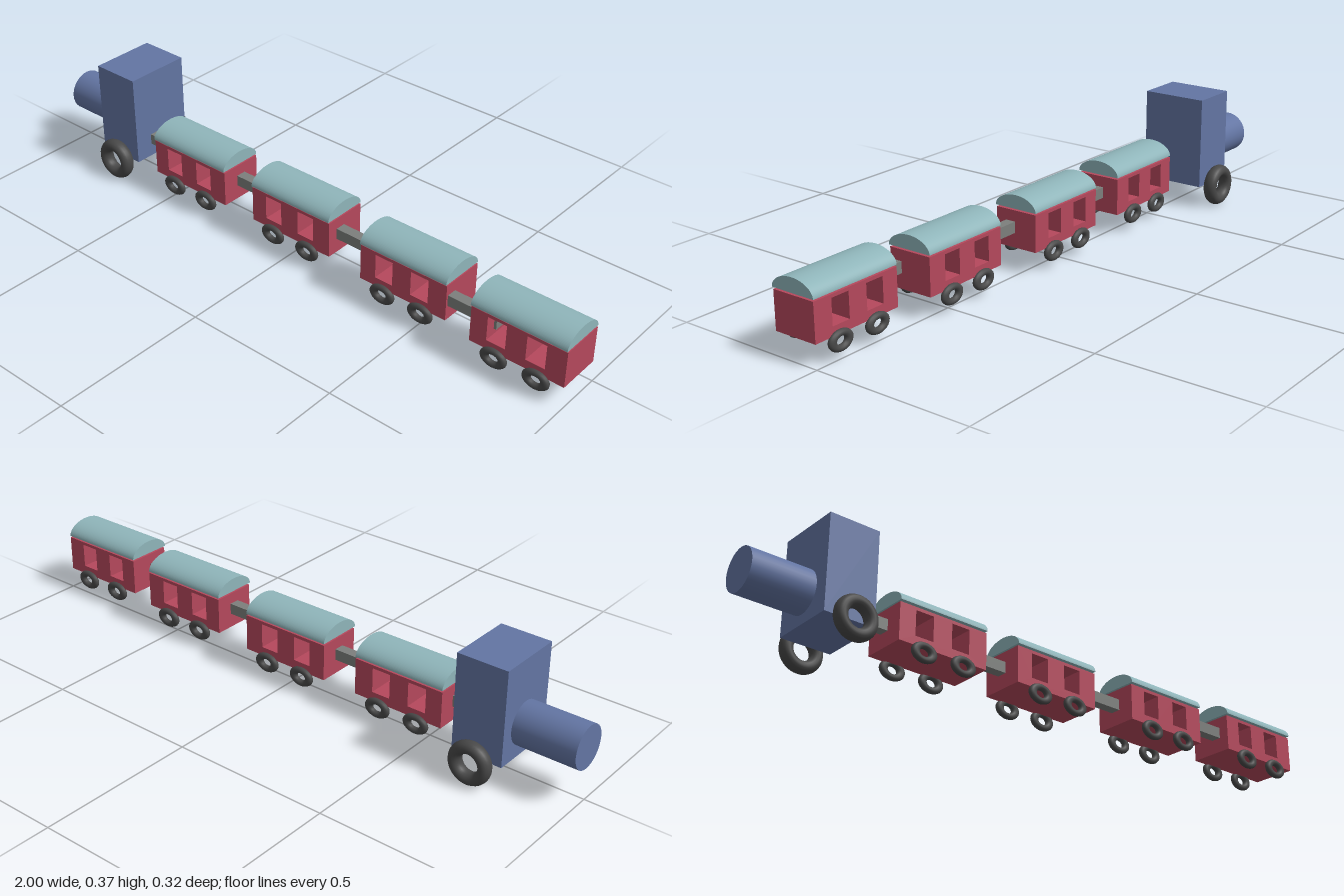
import * as THREE from 'three';

const paint = (color) => new THREE.MeshStandardMaterial({ color });

export function createModel() {
  const train = new THREE.Group();
  train.name = 'train';
  const blue = paint(0x6375a3), red = paint(0xb5485c), teal = paint(0x8fb5ba);
  const black = paint(0x484848), grey = paint(0x7c7f7c);

  function add(parent, name, geometry, material, x, y, z) {
    const mesh = new THREE.Mesh(geometry, material);
    mesh.name = name;
    mesh.position.set(x, y, z);
    parent.add(mesh);
    return mesh;
  }

  // Locomotive: cab, boiler and two large tyres
  const engine = new THREE.Group();
  engine.name = 'engine';
  train.add(engine);
  add(engine, 'cab', new THREE.BoxGeometry(0.16, 0.296, 0.214), blue, -0.725, 0.22, -0.003);
  const boiler = new THREE.CylinderGeometry(0.066, 0.066, 0.2, 32).rotateZ(Math.PI / 2);
  add(engine, 'boiler', boiler, blue, -0.9, 0.168, -0.007);
  const tyre = new THREE.TorusGeometry(0.048, 0.019, 16, 40).scale(1, 1, 1.18);
  for (const z of [0.128, -0.135]) add(engine, 'engineWheel', tyre, black, -0.722, 0.067, z);

  // Carriage body: side profile with two windows cut right through
  const L = 0.302, W = 0.143;
  const rect = (T, x0, x1, y0, y1) => {
    const path = new T();
    path.moveTo(x0, y0);
    path.lineTo(x1, y0);
    path.lineTo(x1, y1);
    path.lineTo(x0, y1);
    path.closePath();
    return path;
  };
  const side = rect(THREE.Shape, -L / 2, L / 2, 0.068, 0.184);
  side.holes.push(
    rect(THREE.Path, -0.097, -0.036, 0.096, 0.174),
    rect(THREE.Path, 0.028, 0.089, 0.096, 0.174)
  );
  const bodyGeo = new THREE.ExtrudeGeometry(side, { depth: W, bevelEnabled: false }).translate(0, 0, -W / 2);

  // Roof: half ellipse running along the carriage
  const arch = new THREE.Shape();
  arch.absellipse(0, 0, 0.074, 0.043, 0, Math.PI);
  arch.closePath();
  const roofGeo = new THREE.ExtrudeGeometry(arch, { depth: L, bevelEnabled: false, curveSegments: 24 })
    .translate(0, 0, -L / 2).rotateY(Math.PI / 2);

  // Small oval wheels
  const wheelGeo = new THREE.TorusGeometry(0.0295, 0.0135, 12, 32).scale(1, 0.72, 0.75);

  [[-0.412, 0.0275], [0.007, 0.0275], [0.444, 0.048], [0.846, 0.0745]].forEach(([x, z], i) => {
    const car = new THREE.Group();
    car.name = 'carriage' + (i + 1);
    car.position.set(x, 0, z);
    train.add(car);
    add(car, 'body', bodyGeo, red, 0, 0, 0);
    add(car, 'roof', roofGeo, teal, 0, 0.189, 0.002);
    for (const wx of [-0.068, 0.067])
      for (const wz of [-0.0745, 0.0745]) add(car, 'carriageWheel', wheelGeo, black, wx, 0.052, wz);
  });

  // Couplings between the vehicles
  [[-0.66, -0.54, 0.027], [-0.28, -0.12, 0.027], [0.14, 0.31, 0.048], [0.58, 0.757, 0.096]].forEach(([a, b, z]) =>
    add(train, 'coupling', new THREE.BoxGeometry(b - a, 0.035, 0.033), grey, (a + b) / 2, 0.132, z));

  return train;
}
